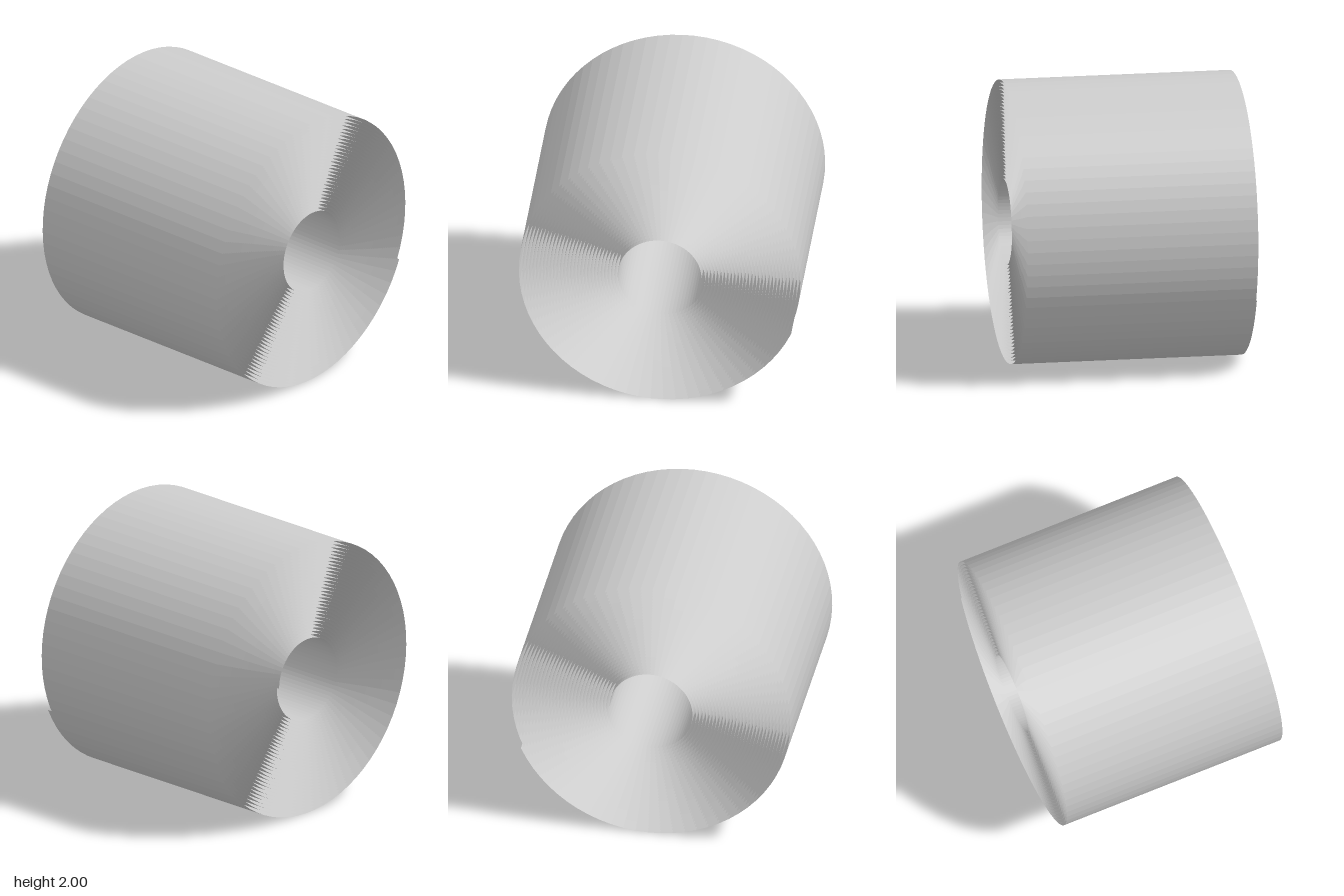
import * as THREE from 'three';

const TURNS = 30;
const INNER_RADIUS = 0.29;
const OUTER_RADIUS = 1.01;
const LENGTH = 1.64;
const END_GAP = THREE.MathUtils.degToRad(24); // the free edge stops short of a full last turn
const SWEEP = TURNS * Math.PI * 2 - END_GAP;
const SEGMENTS = Math.round(SWEEP / THREE.MathUtils.degToRad(5));

// A flat strip wound into an open spiral around the z axis
function spiralSheet() {
  const geometry = new THREE.PlaneGeometry(1, LENGTH, SEGMENTS, 1);
  const position = geometry.attributes.position;
  for (let i = 0; i < position.count; i++) {
    const t = position.getX(i) + 0.5;
    const angle = t * SWEEP;
    const radius = THREE.MathUtils.lerp(INNER_RADIUS, OUTER_RADIUS, t);
    position.setXYZ(i, Math.cos(angle) * radius, Math.sin(angle) * radius, position.getY(i));
  }
  geometry.computeVertexNormals();
  // Rest on the ground and centre the roll
  geometry.computeBoundingBox();
  const { min, max } = geometry.boundingBox;
  geometry.translate(-(min.x + max.x) / 2, -min.y, 0);
  return geometry;
}

export function createModel() {
  const sheetGrey = new THREE.MeshStandardMaterial({
    color: 0xcccccc,
    side: THREE.DoubleSide,
    flatShading: true,
  });
  sheetGrey.name = 'sheetGrey';

  const roll = new THREE.Group();
  roll.name = 'roll';
  const sheet = new THREE.Mesh(spiralSheet(), sheetGrey);
  sheet.name = 'woundSheet';
  roll.add(sheet);
  return roll;
}
